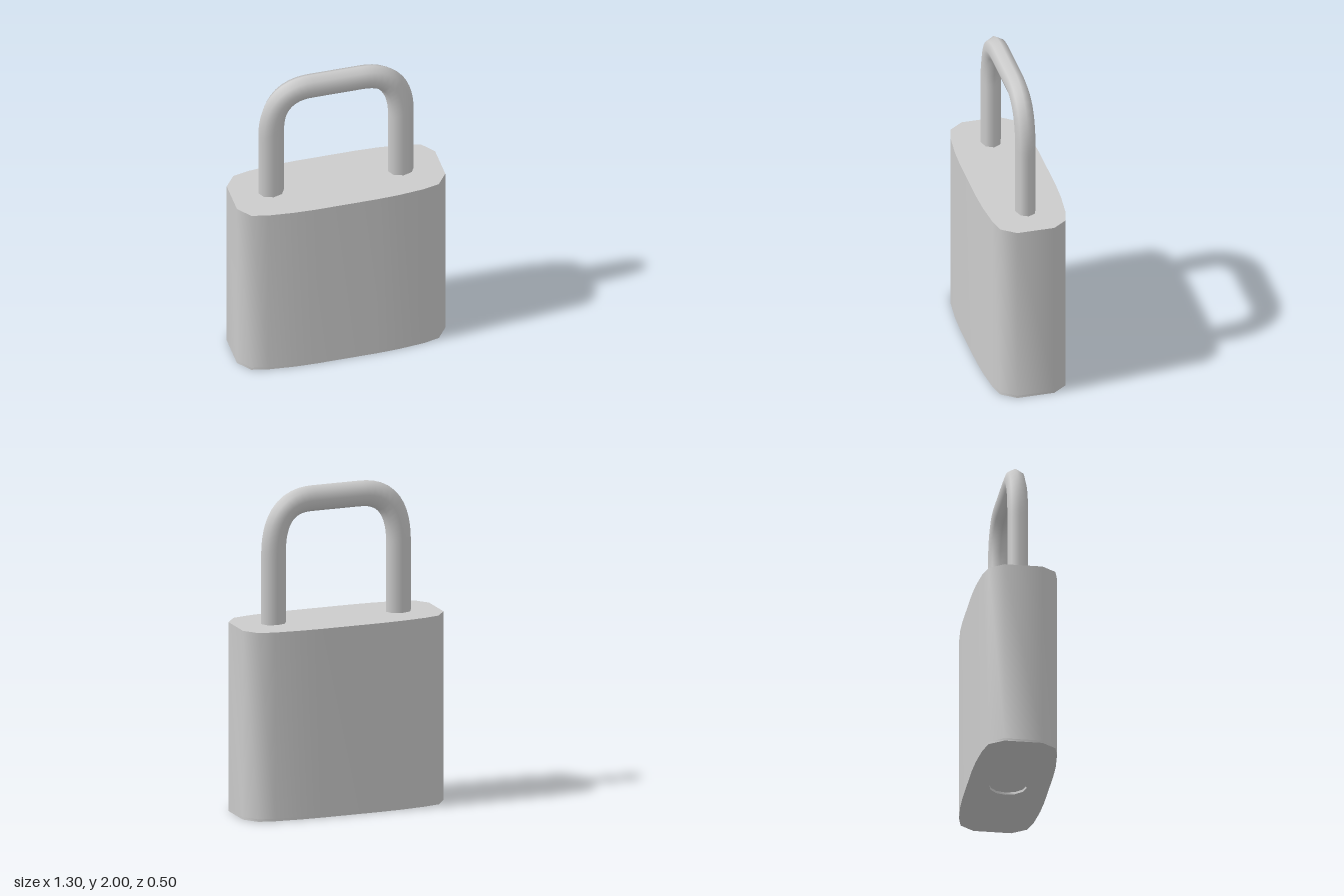
import * as THREE from 'three';
import { toCreasedNormals } from 'three/addons/utils/BufferGeometryUtils.js';

const HEIGHT = 1.17;
const RECESS = 0.015;

// One quarter of the body outline, mirrored into a closed loop
function bodyShape() {
  const quarter = [[0.65, 0.115], [0.585, 0.203], [0.485, 0.227], [0.325, 0.243], [0.19, 0.248]];
  const mirror = (sx, sy, reverse) => {
    const pts = quarter.map(([x, y]) => new THREE.Vector2(x * sx, y * sy));
    return reverse ? pts.reverse() : pts;
  };
  return new THREE.Shape([
    ...mirror(1, 1, false), ...mirror(-1, 1, true),
    ...mirror(-1, -1, false), ...mirror(1, -1, true),
  ]);
}

// Upright prism from y0 to y1 with softly shaded walls and sharp rims
function prism(shape, y0, y1) {
  const geometry = new THREE.ExtrudeGeometry(shape, { depth: y1 - y0, bevelEnabled: false, curveSegments: 6 });
  geometry.rotateX(-Math.PI / 2).translate(0, y0, 0);
  return toCreasedNormals(geometry, 1.0);
}

export function createModel() {
  const group = new THREE.Group();
  const material = new THREE.MeshStandardMaterial({ color: 0xcccccc });
  const add = (name, geometry) => {
    const mesh = new THREE.Mesh(geometry, material);
    mesh.name = name;
    group.add(mesh);
  };

  // Lock body
  add('body', prism(bodyShape(), RECESS, HEIGHT));

  // Bottom plate with the shallow round keyway recess
  const plate = bodyShape();
  plate.holes.push(new THREE.Path().absarc(0, 0, 0.113, 0, Math.PI * 2, true));
  add('bottomPlate', prism(plate, 0, RECESS));

  // Shackle: two legs, two rounded corners and a straight bar
  const v = (x, y) => new THREE.Vector3(x, y, 0);
  const path = new THREE.CurvePath();
  path.add(new THREE.LineCurve3(v(-0.405, HEIGHT - 0.01), v(-0.405, 1.6)));
  path.add(new THREE.QuadraticBezierCurve3(v(-0.405, 1.6), v(-0.405, 1.92), v(-0.16, 1.92)));
  path.add(new THREE.LineCurve3(v(-0.16, 1.92), v(0.16, 1.92)));
  path.add(new THREE.QuadraticBezierCurve3(v(0.16, 1.92), v(0.405, 1.92), v(0.405, 1.6)));
  path.add(new THREE.LineCurve3(v(0.405, 1.6), v(0.405, HEIGHT - 0.01)));
  const shackle = new THREE.TubeGeometry(path, 56, 0.08, 8);
  shackle.scale(1, 1, 0.79);
  add('shackle', shackle);

  return group;
}
